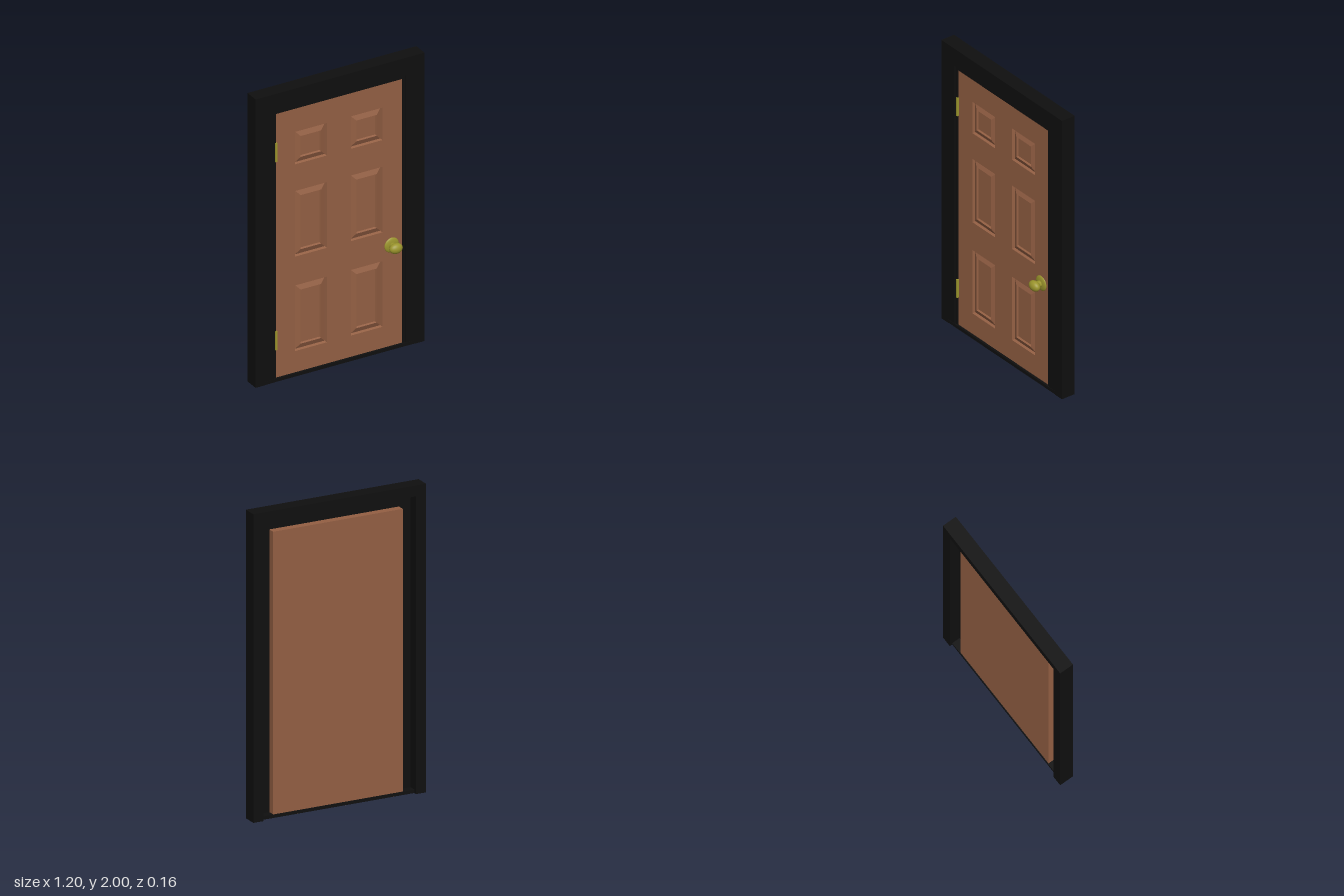
import * as THREE from 'three';

const wood = new THREE.MeshStandardMaterial({ name: 'brown wood', color: 0x935f43 });
const black = new THREE.MeshStandardMaterial({ name: 'black frame', color: 0x0f0f0f });
const brass = new THREE.MeshStandardMaterial({ name: 'dull brass', color: 0x9a942c });

const BACK = -0.083, DOOR_W = 0.45, DOOR_TOP = 1.855;

function add(group, name, geometry, material, x = 0, y = 0, z = 0) {
  const mesh = new THREE.Mesh(geometry, material);
  mesh.name = name;
  mesh.position.set(x, y, z);
  group.add(mesh);
  return mesh;
}

// Extrude a shape between two depths
function slab(shape, z0, z1) {
  return new THREE.ExtrudeGeometry(shape, { depth: z1 - z0, bevelEnabled: false }).translate(0, 0, z0);
}

// Upside-down U: two jambs and a head
function archway(outX, outTop, inX, inTop) {
  return new THREE.Shape([
    [-outX, 0], [-inX, 0], [-inX, inTop], [inX, inTop],
    [inX, 0], [outX, 0], [outX, outTop], [-outX, outTop],
  ].map(([x, y]) => new THREE.Vector2(x, y)));
}

function rectPoints(cx, cy, w, h) {
  return [[-1, -1], [1, -1], [1, 1], [-1, 1]].map(
    ([sx, sy]) => new THREE.Vector2(cx + sx * w / 2, cy + sy * h / 2));
}

// Moulded panel: rectangular rings of [inset, depth], closed by a flat field
function panelGeometry(w, h, profile) {
  const rings = profile.map(([inset, z]) =>
    rectPoints(0, 0, w - 2 * inset, h - 2 * inset).map((p) => [p.x, p.y, z]));
  const pos = [];
  const quad = (a, b, c, d) => pos.push(...a, ...b, ...c, ...a, ...c, ...d);
  for (let r = 0; r < rings.length - 1; r++) {
    for (let i = 0; i < 4; i++) {
      const j = (i + 1) % 4;
      quad(rings[r][i], rings[r][j], rings[r + 1][j], rings[r + 1][i]);
    }
  }
  quad(...rings[rings.length - 1]);
  const geometry = new THREE.BufferGeometry();
  geometry.setAttribute('position', new THREE.Float32BufferAttribute(pos, 3));
  geometry.computeVertexNormals();
  return geometry;
}

function ellipsoid(rx, ry, rz) {
  return new THREE.SphereGeometry(1, 32, 20).scale(rx, ry, rz);
}

export function createModel() {
  const model = new THREE.Group();
  model.name = 'panelledDoor';

  // Frame: deep outer casing, thinner stepped trim around the opening
  const frame = new THREE.Group();
  frame.name = 'frame';
  model.add(frame);
  add(frame, 'outerCasing', slab(archway(0.6, 2, 0.53, 1.93), BACK, 0.015), black);
  add(frame, 'middleTrim', slab(archway(0.53, 1.93, 0.47, 1.875), -0.01, 0.013), black);
  add(frame, 'innerTrim', slab(archway(0.47, 1.875, DOOR_W, DOOR_TOP), -0.01, 0.007), black);
  add(frame, 'threshold', new THREE.BoxGeometry(1.06, 0.021, 0.08), black, 0, 0.0125, -0.025);

  // Door leaf: solid back, front skin with panel openings
  const door = new THREE.Group();
  door.name = 'door';
  model.add(door);
  add(door, 'doorBack', new THREE.BoxGeometry(2 * DOOR_W, DOOR_TOP, 0.04), wood, 0, DOOR_TOP / 2, -0.04);
  const skin = new THREE.Shape(rectPoints(0, DOOR_TOP / 2, 2 * DOOR_W, DOOR_TOP));

  // Six panels: sharp groove, slope rising inward, then a sunk field
  const profile = [[0, 0], [0.007, -0.015], [0.04, -0.001], [0.046, -0.012]];
  for (const [y0, y1] of [[0.17, 0.625], [0.825, 1.28], [1.465, 1.69]]) {
    for (const side of [-1, 1]) {
      const x = side * 0.1975, y = (y0 + y1) / 2, w = 0.225, h = y1 - y0;
      skin.holes.push(new THREE.Path(rectPoints(x, y, w, h)));
      add(door, 'panel', panelGeometry(w, h, profile), wood, x, y, 0);
    }
  }
  add(door, 'doorFront', slab(skin, -0.02, 0), wood);

  // Hinges on the right-hand edge of the model
  for (const y of [0.285, 1.59]) {
    add(model, 'hinge', new THREE.BoxGeometry(0.012, 0.13, 0.034), brass, -0.451, y, -0.003);
  }

  // Knob: domed rosette, stem and flattened grip
  const knob = new THREE.Group();
  knob.name = 'knob';
  knob.position.set(0.375, 0.72, 0);
  model.add(knob);
  add(knob, 'rosette', ellipsoid(0.051, 0.051, 0.014), brass);
  add(knob, 'stem', new THREE.CylinderGeometry(0.022, 0.022, 0.05, 24).rotateX(Math.PI / 2), brass, 0, 0, 0.02);
  add(knob, 'grip', ellipsoid(0.045, 0.034, 0.029), brass, 0, 0, 0.053);

  return model;
}
